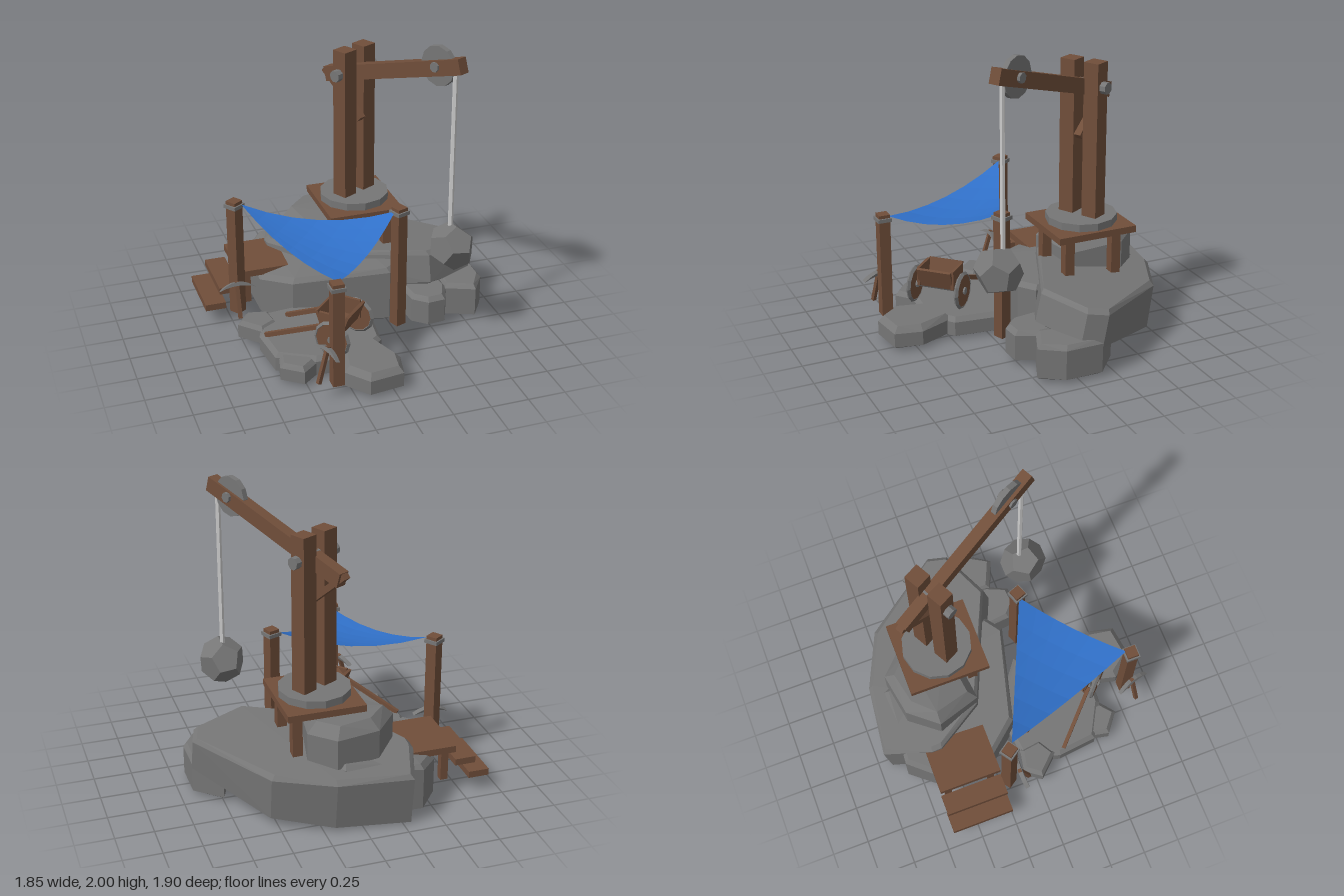
import * as THREE from 'three';
import { ConvexGeometry } from 'three/addons/geometries/ConvexGeometry.js';

const mat = (color, extra = {}) => new THREE.MeshStandardMaterial({ color, flatShading: true, ...extra });
const stone = mat(0x767676);
const cord = mat(0xbebebe);
const wood = mat(0x704e3a);
const cloth = mat(0x3070c8, { side: THREE.DoubleSide });
const V = (x, y, z) => new THREE.Vector3(x, y, z);

function add(parent, name, geometry, material, x = 0, y = 0, z = 0, turn = 0) {
  const mesh = new THREE.Mesh(geometry, material);
  mesh.name = name;
  mesh.position.set(x, y, z);
  mesh.rotation.y = turn;
  parent.add(mesh);
  return mesh;
}

const box = (parent, name, w, h, d, x, y, z, turn, material = wood) =>
  add(parent, name, new THREE.BoxGeometry(w, h, d), material, x, y, z, turn);

// Square beam from point a to point b
function beam(parent, name, a, b, w, h) {
  const mid = a.clone().lerp(b, 0.5);
  box(parent, name, w, h, a.distanceTo(b), mid.x, mid.y, mid.z).lookAt(b);
}

// Round bar from point a to point b
function rod(parent, name, a, b, r, sides, material = stone) {
  const mid = a.clone().lerp(b, 0.5);
  const mesh = add(parent, name, new THREE.CylinderGeometry(r, r, a.distanceTo(b), sides), material, mid.x, mid.y, mid.z);
  mesh.quaternion.setFromUnitVectors(V(0, 1, 0), b.clone().sub(a).normalize());
}

// Chamfered boulder over an [x, z] outline; top and bottom may be sloped
function rock(parent, name, outline, bottom, top, bevel = 0.03, shiftZ = 0) {
  const at = (f, x, z) => (typeof f === 'function' ? f(x, z) : f);
  const cx = outline.reduce((s, p) => s + p[0], 0) / outline.length;
  const cz = outline.reduce((s, p) => s + p[1], 0) / outline.length;
  const points = [];
  for (const [x, z] of outline) {
    const k = 1 - bevel / Math.hypot(x - cx, z - cz);
    const ix = cx + (x - cx) * k, iz = cz + (z - cz) * k;
    points.push(V(ix, at(top, ix, iz), iz), V(x, at(top, x, z) - bevel, z));
    points.push(V(x, at(bottom, x, z) + bevel * 0.5, z + shiftZ), V(ix, at(bottom, ix, iz), iz + shiftZ));
  }
  add(parent, name, new ConvexGeometry(points), stone);
}

function pickaxe(x, y, z, turn, lean) {
  const pick = new THREE.Group();
  pick.name = 'pickaxe';
  box(pick, 'pickHandle', 0.025, 0.25, 0.025, 0, 0.115, 0);
  const s = new THREE.Shape();
  s.moveTo(-0.12, -0.035);
  s.quadraticCurveTo(0, 0.06, 0.12, -0.035);
  s.quadraticCurveTo(0, 0.01, -0.12, -0.035);
  const head = new THREE.ExtrudeGeometry(s, { depth: 0.03, bevelEnabled: false, curveSegments: 6 });
  add(pick, 'pickHead', head.translate(0, 0.225, -0.015), stone);
  pick.position.set(x, y, z);
  pick.rotation.set(lean, turn, 0, 'YXZ');
  return pick;
}

function makeRocks() {
  const g = new THREE.Group();
  g.name = 'rocks';
  rock(g, 'slab', [[-0.30, -0.95], [0.18, -0.89], [0.55, -0.72], [0.92, -0.19], [0.88, -0.06], [0.54, 0.09], [-0.21, -0.24], [-0.41, -0.57], [-0.41, -0.64]],
    (x, z) => 0.225 + 0.25 * z, (x, z) => 0.475 + 0.12 * z - 0.02 * Math.max(0, x), 0.03, 0.04);
  rock(g, 'baseRock', [[-0.41, -0.83], [-0.55, -0.66], [-0.55, -0.25], [-0.38, -0.04], [0.25, 0.12], [0.36, 0.04], [0.3, -0.4], [0.1, -0.8]],
    0.02, (x) => Math.min(0.41, 0.445 + 0.25 * x));
  rock(g, 'upperBoulder', [[-0.31, -0.53], [-0.15, -0.72], [0.14, -0.77], [0.29, -0.62], [0.22, -0.28], [-0.2, -0.23]],
    0.25, (x, z) => Math.min(0.65, 0.65 - 0.25 * (z + 0.5)), 0.07);
  rock(g, 'sideRock', [[0.65, -0.05], [0.63, 0.17], [0.82, 0.25], [0.92, 0.1], [0.92, -0.15], [0.75, -0.3]], 0.01, 0.25);
  rock(g, 'sideRockSmall', [[0.35, 0], [0.37, 0.22], [0.46, 0.3], [0.58, 0.29], [0.65, 0.14], [0.62, -0.1]], 0.03, 0.24);
  rock(g, 'groundRock', [[-0.6, -0.05], [-0.68, 0.2], [-0.65, 0.47], [-0.42, 0.6], [-0.12, 0.62], [0.06, 0.48], [0.1, 0.15], [-0.1, 0], [-0.35, -0.08]], 0, 0.14);
  rock(g, 'frontRock', [[-0.29, 0.78], [-0.17, 0.93], [0.06, 0.9], [0.1, 0.72], [0, 0.48], [-0.22, 0.5]], 0, 0.155, 0.04);
  rock(g, 'cornerRock', [[-0.7, -0.08], [-0.78, 0.03], [-0.65, 0.17], [-0.53, 0.1], [-0.55, -0.05]], 0.02, 0.155);
  rock(g, 'cornerRock', [[-0.62, 0.44], [-0.65, 0.58], [-0.52, 0.68], [-0.42, 0.6], [-0.45, 0.4]], 0, 0.13);
  return g;
}

function makeCrane() {
  const g = new THREE.Group();
  g.name = 'crane';
  // Platform on four legs with a round turntable
  box(g, 'platform', 0.51, 0.045, 0.55, 0.165, 0.712, -0.375);
  for (const x of [0, 0.335]) for (const z of [-0.2, -0.535]) box(g, 'platformLeg', 0.065, 0.35, 0.065, x, 0.52, z);
  add(g, 'turntable', new THREE.CylinderGeometry(0.235, 0.235, 0.05, 12), stone, 0.165, 0.76, -0.38);
  // Twin masts and the axle through them
  const turn = 0.49;
  box(g, 'mast', 0.108, 1.04, 0.108, 0.087, 1.295, -0.34, turn);
  box(g, 'mast', 0.108, 1.04, 0.108, 0.245, 1.295, -0.425, turn);
  rod(g, 'axle', V(0, 1.655, -0.295), V(0.33, 1.655, -0.47), 0.04, 8);
  // Boom, tail brace and pulley
  beam(g, 'boom', V(0.06, 1.57, -0.6), V(0.59, 1.91, 0.42), 0.075, 0.1);
  beam(g, 'boomBrace', V(0.045, 1.6, -0.62), V(0.2, 1.32, -0.33), 0.05, 0.04);
  const side = V(0.885, 0, -0.465), hub = V(0.505, 1.865, 0.25);
  const across = (d) => hub.clone().addScaledVector(side, d);
  rod(g, 'pulley', across(-0.018), across(0.018), 0.132, 12);
  rod(g, 'pulleyPin', across(-0.055), across(0.055), 0.033, 8);
  // Rope and hanging boulder
  rod(g, 'rope', V(0.567, 0.78, 0.365), V(0.567, 1.88, 0.365), 0.017, 6, cord);
  const load = add(g, 'hangingBoulder', new THREE.DodecahedronGeometry(0.165), stone, 0.567, 0.67, 0.395);
  load.rotation.set(0.3, 0.5, 0.25);
  load.scale.set(0.92, 0.98, 0.98);
  return g;
}

function makeAwning() {
  const g = new THREE.Group();
  g.name = 'awning';
  // [x, z, bottom, top, width, turn]
  for (const [x, z, y0, y1, w, turn] of [[-0.72, -0.2, 0.1, 0.92, 0.076, 0.6], [0.265, 0.235, 0.06, 0.92, 0.075, 0.35], [-0.35, 0.81, 0.07, 0.785, 0.075, 0]]) {
    box(g, 'awningPost', w, y1 - y0, w, x, (y0 + y1) / 2, z, turn);
    box(g, 'postBand', w + 0.02, 0.025, w + 0.02, x, y1 - 0.035, z, turn, stone);
  }
  // Triangular cloth sagging between its three corners
  const A = V(-0.68, 0.9, -0.17), B = V(0.235, 0.895, 0.235), C = V(-0.33, 0.77, 0.78);
  const geo = new THREE.PlaneGeometry(1, 1, 6, 6);
  const pos = geo.attributes.position;
  for (let i = 0; i < pos.count; i++) {
    const u = pos.getX(i) + 0.5, v = pos.getY(i) + 0.5;
    const a = 1 - u, b = u * (1 - v), c = u * v;
    const p = V(0, 0, 0).addScaledVector(A, a).addScaledVector(B, b).addScaledVector(C, c);
    pos.setXYZ(i, p.x, p.y - 0.35 * a * b - 0.27 * c * (a + b), p.z);
  }
  geo.computeVertexNormals();
  add(g, 'awningCloth', geo, cloth);
  return g;
}

function makeCart() {
  const g = new THREE.Group();
  g.name = 'cart';
  // Open tray with flared ends, local x along the axle, handles toward -z
  box(g, 'trayFloor', 0.24, 0.02, 0.12, 0, 0.02, -0.03);
  for (const s of [-1, 1]) {
    box(g, 'traySide', 0.02, 0.13, 0.17, s * 0.12, 0.08, -0.03);
    const end = box(g, 'trayEnd', 0.24, 0.14, 0.02, 0, 0.08, -0.03 + s * 0.085);
    end.rotation.x = s * 0.35;
    // Wheel disc with a rim and hub
    const wheel = new THREE.Group();
    wheel.name = 'wheel';
    wheel.position.x = s * 0.17;
    wheel.rotation.z = Math.PI / 2;
    add(wheel, 'wheelDisc', new THREE.CylinderGeometry(0.11, 0.11, 0.025, 12), wood);
    const rim = add(wheel, 'wheelRim', new THREE.TorusGeometry(0.112, 0.016, 4, 12), stone);
    rim.rotation.x = Math.PI / 2;
    add(wheel, 'wheelHub', new THREE.CylinderGeometry(0.025, 0.025, 0.05, 8), stone);
    g.add(wheel);
    beam(g, 'cartHandle', V(s * 0.14, 0.06, -0.08), V(s * 0.14, -0.12, -0.5), 0.025, 0.03);
  }
  rod(g, 'cartAxle', V(-0.17, 0, 0), V(0.17, 0, 0), 0.015, 6);
  g.position.set(-0.195, 0.265, 0.49);
  g.rotation.y = Math.PI / 4;
  return g;
}

function makeSteps() {
  const g = new THREE.Group();
  g.name = 'steps';
  box(g, 'deck', 0.46, 0.045, 0.43, -0.46, 0.333, -0.465);
  box(g, 'upperStep', 0.14, 0.045, 0.43, -0.76, 0.233, -0.465);
  box(g, 'lowerStep', 0.14, 0.045, 0.43, -0.86, 0.122, -0.465);
  for (const z of [-0.31, -0.62]) box(g, 'deckLeg', 0.05, 0.22, 0.05, -0.63, 0.21, z);
  return g;
}

export function createModel() {
  const model = new THREE.Group();
  model.name = 'quarryCamp';
  model.add(makeRocks(), makeCrane(), makeAwning(), makeCart(), makeSteps());
  model.add(pickaxe(-0.74, 0.13, -0.06, 0, -0.3), pickaxe(-0.48, 0.13, 0.85, 1.9, 0.3));
  return model;
}
